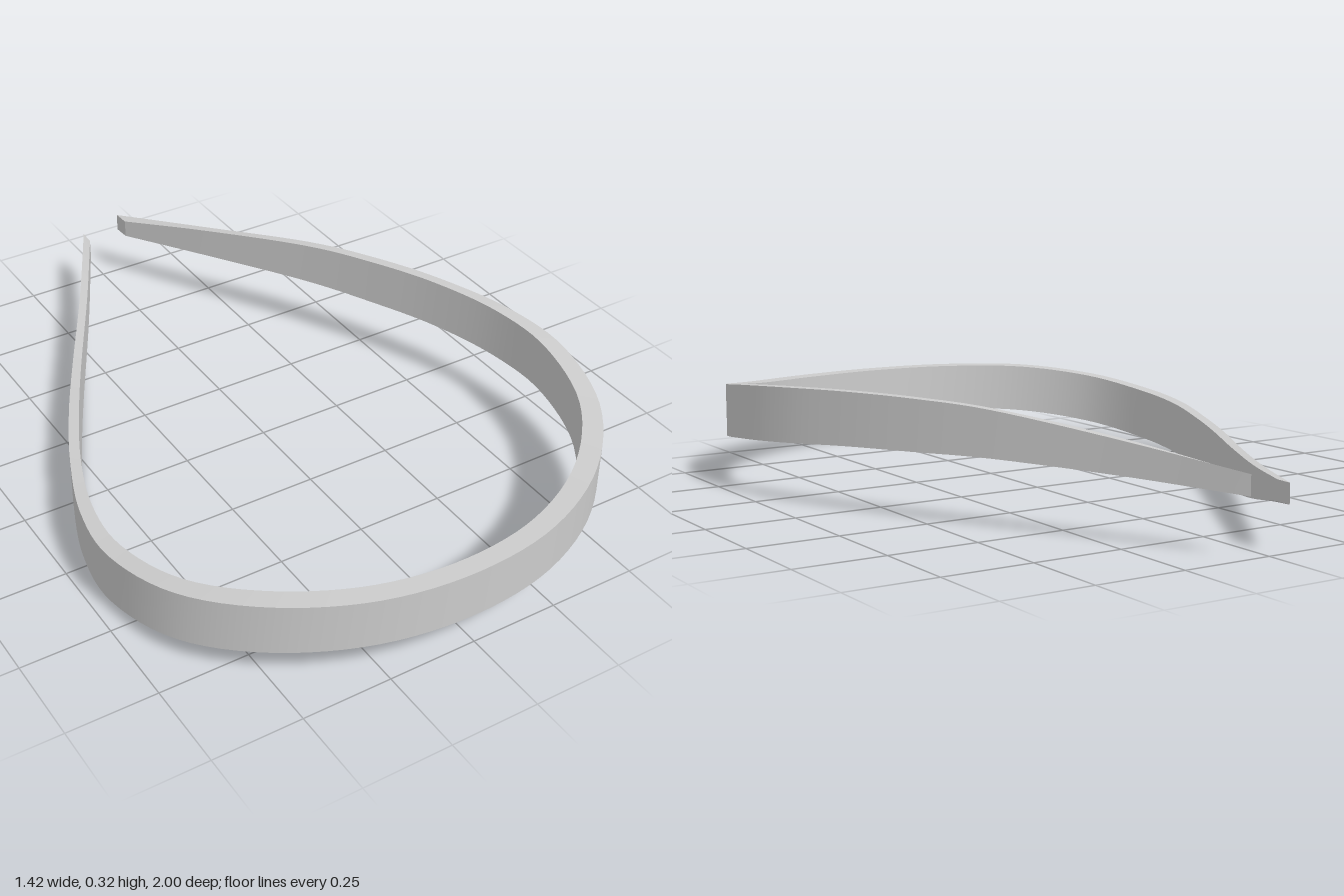
import * as THREE from 'three';
import { mergeGeometries } from 'three/addons/utils/BufferGeometryUtils.js';

const MID_Y = 0.165; // the band is symmetric under a half turn about the z axis at this height
const STEPS = 120;

// Half of the band, front centre to tip: outer x, z, inner x, z, top, bottom
const stations = [
  [0, 1, 0, 0.945, 0.235, 0.095],
  [0.26, 0.963, 0.24, 0.91, 0.236, 0.095],
  [0.49, 0.845, 0.455, 0.80, 0.246, 0.10],
  [0.65, 0.66, 0.608, 0.627, 0.272, 0.122],
  [0.71, 0.43, 0.665, 0.41, 0.301, 0.15],
  [0.685, 0.22, 0.647, 0.215, 0.317, 0.166],
  [0.605, 0, 0.578, 0.01, 0.325, 0.18],
  [0.51, -0.2, 0.485, -0.187, 0.323, 0.185],
  [0.4, -0.4, 0.378, -0.388, 0.31, 0.187],
  [0.225, -0.7, 0.205, -0.69, 0.262, 0.174],
  [0.06, -1, 0.063, -0.95, 0.208, 0.155],
];

// The other half: mirrored in x, flipped in height
const flipped = stations.slice(1).reverse().map(([ox, oz, ix, iz, top, bottom]) =>
  [-ox, oz, -ix, iz, 2 * MID_Y - bottom, 2 * MID_Y - top]);
const band = [...flipped, ...stations];

// Smooth edge line through the stations
function edge(pick) {
  const curve = new THREE.CatmullRomCurve3(
    band.map((s) => new THREE.Vector3(...pick(s))), false, 'catmullrom', 0.5);
  return curve.getPoints(STEPS);
}

// Smooth ribbon between two edge lines
function ribbon(a, b) {
  const points = [];
  const index = [];
  a.forEach((p, i) => {
    points.push(p, b[i]);
    if (i < a.length - 1) {
      const k = 2 * i;
      index.push(k, k + 2, k + 3, k, k + 3, k + 1);
    }
  });
  const geometry = new THREE.BufferGeometry().setFromPoints(points);
  geometry.setIndex(index);
  geometry.computeVertexNormals();
  return geometry;
}

export function createModel() {
  const group = new THREE.Group();
  group.name = 'openBand';

  // Four long edges, in order around the cross-section
  const edges = [
    edge(([ox, oz, , , , bottom]) => [ox, bottom, oz]),
    edge(([ox, oz, , , top]) => [ox, top, oz]),
    edge(([, , ix, iz, top]) => [ix, top, iz]),
    edge(([, , ix, iz, , bottom]) => [ix, bottom, iz]),
  ];

  // Outer, top, inner and bottom faces
  const parts = edges.map((e, i) => ribbon(e, edges[(i + 1) % 4]));

  // Flat tips
  const [a, b, c, d] = edges.map((e) => e[0]);
  const [p, q, r, s] = edges.map((e) => e[STEPS]);
  parts.push(ribbon([a, b], [d, c]), ribbon([p, s], [q, r]));

  const material = new THREE.MeshStandardMaterial({ color: 0xcccccc });
  const mesh = new THREE.Mesh(mergeGeometries(parts), material);
  mesh.name = 'twistedBand';
  group.add(mesh);
  return group;
}
